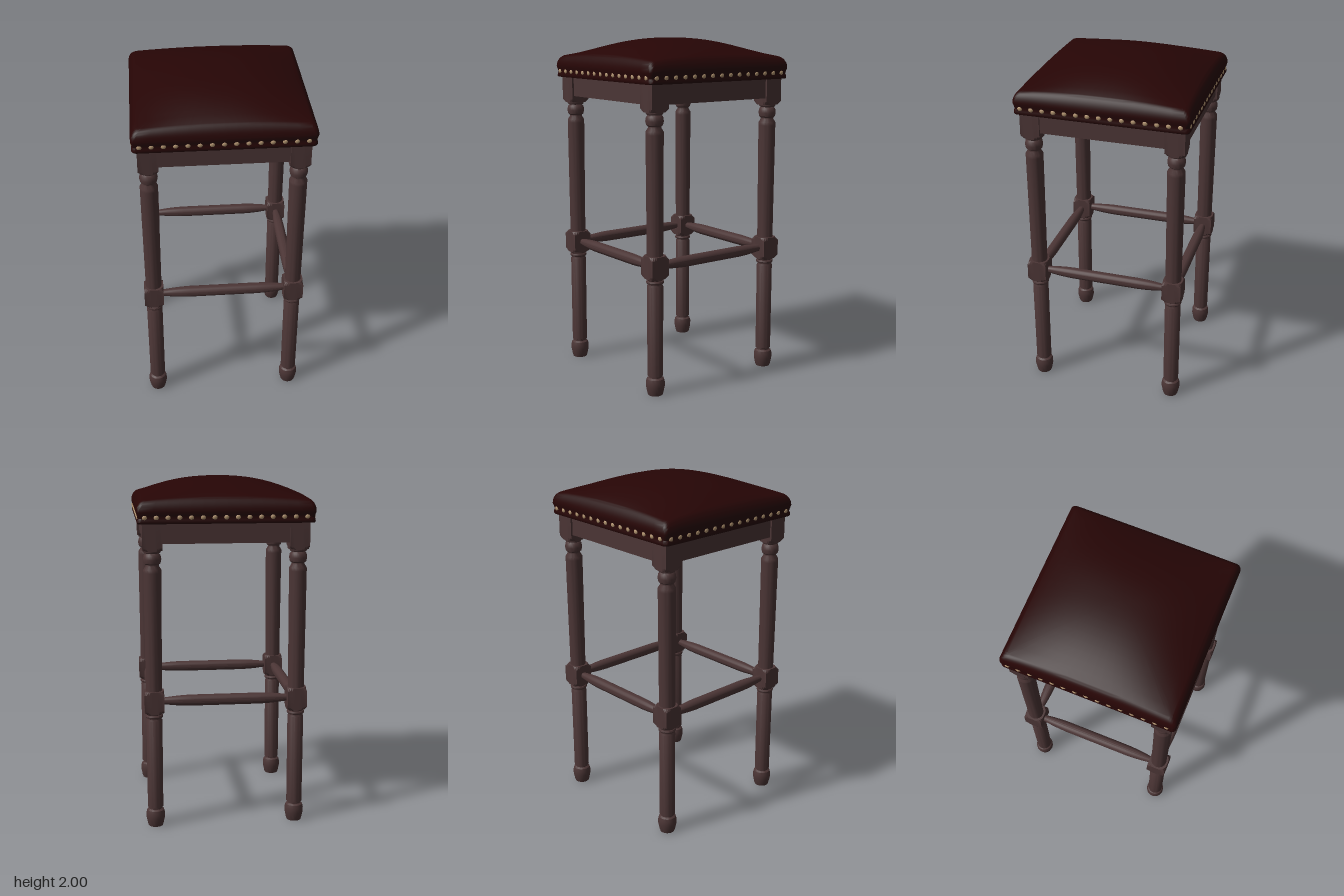
import * as THREE from 'three';
import { toCreasedNormals } from 'three/addons/utils/BufferGeometryUtils.js';

const wood = new THREE.MeshStandardMaterial({ name: 'dark wood', color: 0x4b3535 });
const leather = new THREE.MeshStandardMaterial({ name: 'oxblood leather', color: 0x260505 });
const brass = new THREE.MeshStandardMaterial({ name: 'aged brass', color: 0xb0926e });

const HALF = 0.497, BASE = 1.765, LEG = 0.41;

function add(parent, name, geometry, material, x = 0, y = 0, z = 0) {
  const mesh = new THREE.Mesh(geometry, material);
  mesh.name = name;
  mesh.position.set(x, y, z);
  parent.add(mesh);
  return mesh;
}

function lathe(points, segments = 28) {
  const g = new THREE.LatheGeometry(points.map(([r, y]) => new THREE.Vector2(r, y)), segments);
  return toCreasedNormals(g, 0.6);
}

// Square block with lathe-turned corners: a turned shape clipped to a square
function turnedBlock(points, half) {
  const g = new THREE.LatheGeometry(points.map(([r, y]) => new THREE.Vector2(r, y)), 32);
  const p = g.attributes.position;
  for (let i = 0; i < p.count; i++) {
    p.setX(i, THREE.MathUtils.clamp(p.getX(i), -half, half));
    p.setZ(i, THREE.MathUtils.clamp(p.getZ(i), -half, half));
  }
  return toCreasedNormals(g, 0.4);
}

// Rounded-square outline of the seat
function seatOutline() {
  const r = 0.025, c = HALF - r, pts = [];
  const starts = [[-c, HALF], [-HALF, -c], [c, -HALF], [HALF, c]];
  for (let q = 0; q < 4; q++) {
    const cx = q === 0 || q === 3 ? c : -c, cz = q < 2 ? c : -c;
    for (let i = 0; i <= 6; i++) {
      const a = (q + i / 6) * Math.PI / 2;
      pts.push([cx + r * Math.cos(a), cz + r * Math.sin(a)]);
    }
    // points along the straight side to the next corner
    const last = pts[pts.length - 1], next = starts[q];
    for (let i = 1; i < 14; i++) {
      pts.push([last[0] + (next[0] - last[0]) * i / 14, last[1] + (next[1] - last[1]) * i / 14]);
    }
  }
  return pts;
}

// Crowned cushion: shallow nail groove, rolled edge and domed top
function cushionGeometry() {
  const outline = seatOutline(), n = outline.length, roll = 0.085;
  const rings = [[0, 0], [0.985, 0], [0.993, 0.06], [0.991, 0.16], [0.983, 0.24], [0.99, 0.36]]; // [scale, height fraction]
  for (let i = 0; i <= 10; i++) {
    const a = i / 10 * Math.PI / 2;
    rings.push([1 - roll * (1 - Math.cos(a)), 0.5 + 0.5 * Math.sin(a)]);
  }
  for (let i = 1; i <= 10; i++) rings.push([(1 - roll) * (1 - i / 10), 1]);
  const pos = [], index = [];
  const arch = (t) => 1 - Math.abs(t / HALF) ** 2.3;
  for (const [k, f] of rings) {
    for (const [px, pz] of outline) {
      const x = px * k, z = pz * k;
      const top = 1.89 + 0.11 * arch(x) * arch(z);
      pos.push(x, BASE + (top - BASE) * f, z);
    }
  }
  for (let i = 0; i < rings.length - 1; i++) {
    for (let j = 0; j < n; j++) {
      const a = i * n + j, b = i * n + (j + 1) % n, c = a + n, d = b + n;
      if (i === 0) index.push(a, c, d);
      else index.push(a, c, b);
      if (i > 0 && i < rings.length - 2) index.push(c, d, b);
    }
  }
  const g = new THREE.BufferGeometry();
  g.setAttribute('position', new THREE.Float32BufferAttribute(pos, 3));
  g.setIndex(index);
  return toCreasedNormals(g, 0.7);
}

export function createModel() {
  const model = new THREE.Group();
  model.name = 'barStool';

  // Seat
  add(model, 'seatCushion', cushionGeometry(), leather);

  // Turned leg sections
  const lower = lathe([[0, 0], [0.042, 0], [0.046, 0.012], [0.054, 0.05], [0.054, 0.078], [0.049, 0.096],
    [0.038, 0.104], [0.038, 0.112], [0.045, 0.115], [0.046, 0.64], [0.041, 0.648], [0.041, 0.653],
    [0.048, 0.656], [0.051, 0.664], [0.048, 0.672], [0.043, 0.674], [0.05, 0.68], [0.05, 0.69]]);
  const upper = lathe([[0.046, 0.81], [0.05, 1.49], [0.05, 1.507], [0.037, 1.528], [0.037, 1.536],
    [0.046, 1.543], [0.051, 1.565], [0.047, 1.588], [0.038, 1.598], [0.046, 1.602], [0.049, 1.609], [0.047, 1.62]]);
  const block = turnedBlock([[0, 0.685], [0.06, 0.685], [0.08, 0.703], [0.08, 0.797], [0.06, 0.815], [0, 0.815]], 0.056);
  const topBlock = turnedBlock([[0, 1.613], [0.06, 1.613], [0.08, 1.632], [0.08, 1.773], [0, 1.773]], 0.056);
  for (const sx of [-1, 1]) {
    for (const sz of [-1, 1]) {
      const leg = new THREE.Group();
      leg.name = (sz > 0 ? 'front' : 'back') + (sx > 0 ? 'Left' : 'Right') + 'Leg';
      leg.position.set(sx * LEG, 0, sz * LEG);
      add(leg, 'lowerLeg', lower, wood);
      add(leg, 'stretcherBlock', block, wood);
      add(leg, 'upperLeg', upper, wood);
      add(leg, 'topBlock', topBlock, wood);
      model.add(leg);
    }
  }

  // Each side has an apron rail, a turned stretcher and a row of nails
  const apron = new THREE.BoxGeometry(0.74, 0.118, 0.03);
  const halfRod = [[0.018, -0.37], [0.02, -0.35], [0.026, -0.3], [0.03, -0.25], [0.032, -0.2]];
  const rod = lathe([...halfRod, ...halfRod.map(([r, y]) => [r, -y]).reverse()], 20);
  rod.rotateZ(Math.PI / 2);
  const nail = new THREE.SphereGeometry(0.015, 12, 5, 0, Math.PI * 2, 0, Math.PI / 2);
  nail.rotateX(Math.PI / 2);
  nail.scale(1, 1, 0.65);
  ['front', 'left', 'back', 'right'].forEach((side, i) => {
    const g = new THREE.Group();
    g.name = side + 'Side';
    g.rotation.y = i * Math.PI / 2;
    add(g, 'apron', apron, wood, 0, 1.712, 0.44);
    add(g, 'stretcher', rod, wood, 0, 0.75, LEG);
    for (let k = 0; k < 15; k++) {
      add(g, 'nailHead', nail, brass, -0.452 + k * 0.064, 1.8, 0.4865);
    }
    model.add(g);
  });
  return model;
}
